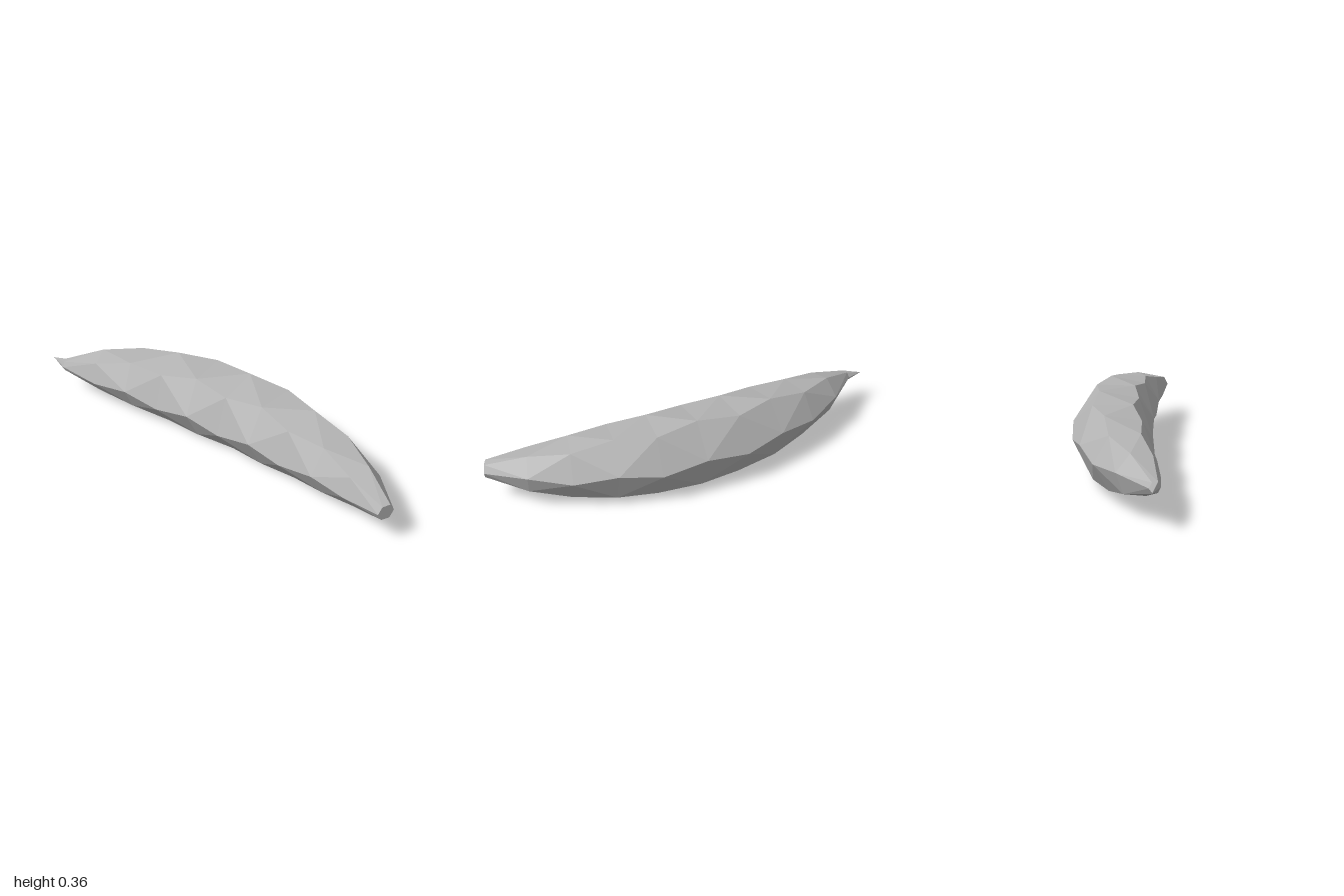
import * as THREE from 'three';

const SIDES = 6, MID_Y = 0.187;

// Hexagonal rings along the bent body: [x, z, radius, tilt in degrees, twist in degrees]
const half = [
  [0.2, -0.028, 0.188, 5.5, 0],
  [0.39, 0, 0.174, 9.5, -10],
  [0.583, 0.04, 0.145, 14, 0],
  [0.766, 0.102, 0.104, 20, -10],
];
const side = (s) => half.map(([x, z, r, t, w]) => [0.03 + s * x, z, r, s * t, w]);
const rings = [
  [-0.915, 0.175, 0.028, -25, 0],
  ...side(-1).reverse(),
  [0.03, -0.035, 0.193, 0, -10],
  ...side(1),
  [0.977, 0.187, 0.041, 25, 0],
];

function ringPoint([x, z, r, tilt, twist], i) {
  const t = THREE.MathUtils.degToRad(tilt);
  const a = THREE.MathUtils.degToRad(twist + (i * 360) / SIDES);
  const inward = r * Math.cos(a);
  return [x - inward * Math.sin(t), MID_Y + r * Math.sin(a), z + inward * Math.cos(t)];
}

function meshFrom(name, triangles, material) {
  const geometry = new THREE.BufferGeometry();
  geometry.setAttribute('position', new THREE.Float32BufferAttribute(triangles.flat(2), 3));
  geometry.computeVertexNormals();
  const mesh = new THREE.Mesh(geometry, material);
  mesh.name = name;
  return mesh;
}

export function createModel() {
  const group = new THREE.Group();
  group.name = 'curvedFruit';
  const skin = new THREE.MeshStandardMaterial({ color: 0xb4b4b4 });
  skin.name = 'grey skin';

  // Faceted skin: each twisted quad is split along its shorter diagonal
  const body = [];
  for (let k = 0; k < rings.length - 1; k++) {
    for (let i = 0; i < SIDES; i++) {
      const a = ringPoint(rings[k], i), b = ringPoint(rings[k + 1], i);
      const c = ringPoint(rings[k + 1], i + 1), d = ringPoint(rings[k], i + 1);
      if (rings[k][4] === 0) body.push([a, b, c], [a, c, d]);
      else body.push([a, b, d], [b, c, d]);
    }
  }
  group.add(meshFrom('body', body, skin));

  // Pointed tip on one end, flat hexagonal cap on the other
  const first = rings[0], last = rings[rings.length - 1];
  const tip = [], cap = [];
  for (let i = 0; i < SIDES; i++) {
    tip.push([[-1, 0.19, 0.165], ringPoint(first, i), ringPoint(first, i + 1)]);
    cap.push([[last[0], MID_Y, last[1]], ringPoint(last, i + 1), ringPoint(last, i)]);
  }
  group.add(meshFrom('pointedTip', tip, skin), meshFrom('endCap', cap, skin));
  return group;
}
